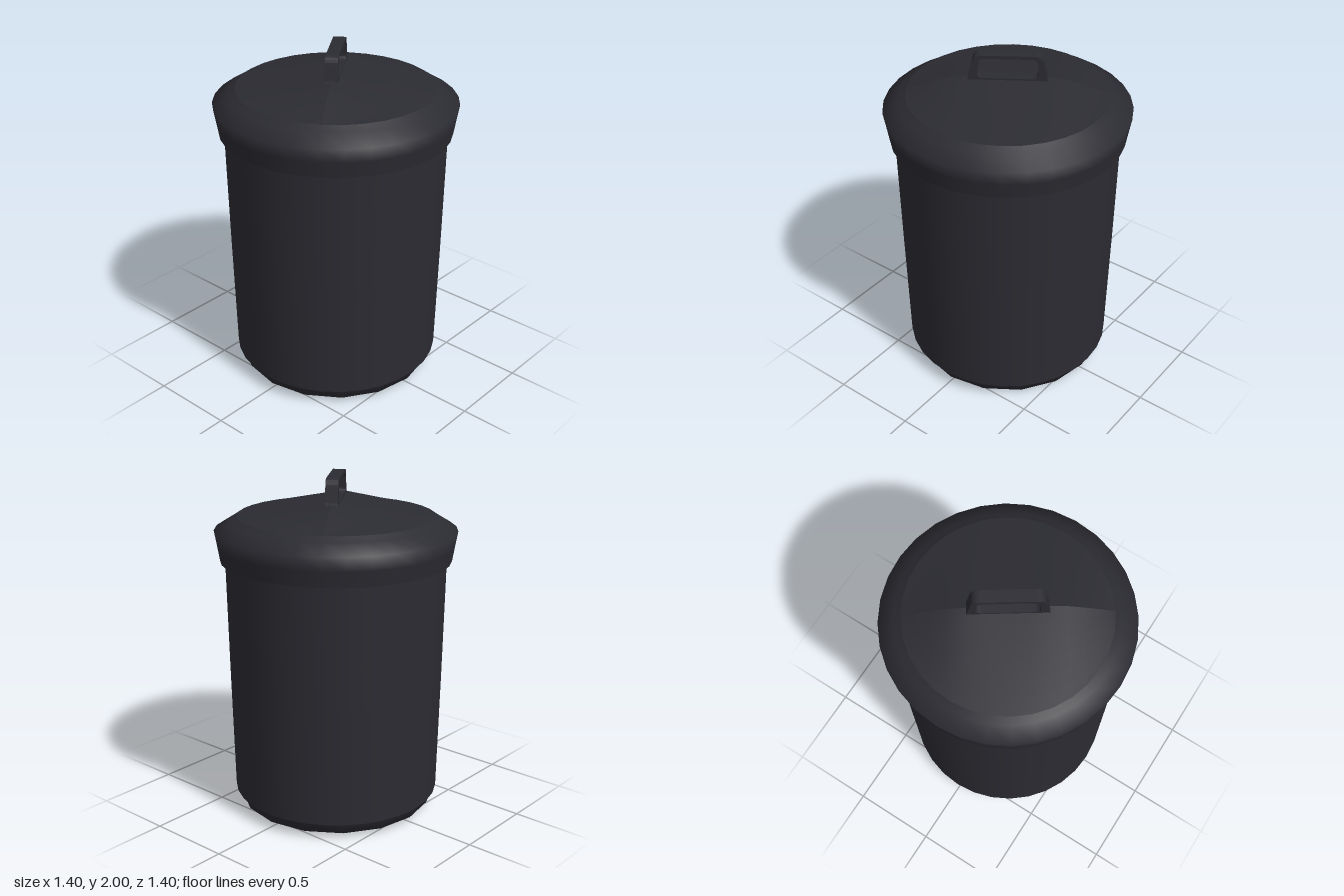
import * as THREE from 'three';

const LID_R = 0.57, LID_Y = 1.765, RISE = 0.095, SIDES = 32;

// Smooth turned surface from [radius, height] pairs
function turned(points, sides, name, material) {
  const geo = new THREE.LatheGeometry(points.map(([r, y]) => new THREE.Vector2(r, y)), sides);
  const mesh = new THREE.Mesh(geo, material);
  mesh.name = name;
  return mesh;
}

// Half of the lid top, sloping from a central ridge to the round rim
function lidHalf() {
  const geo = new THREE.PlaneGeometry(1, 1, SIDES / 2, 6);
  const pos = geo.attributes.position;
  for (let i = 0; i < pos.count; i++) {
    const phi = Math.PI * (0.5 - pos.getX(i)); // rim angle from the ridge
    const k = 0.5 - pos.getY(i);               // 0 at ridge, 1 at rim
    const s = LID_R * Math.cos(phi);
    const end = Math.max(0, (Math.abs(s) - 0.25) / (LID_R - 0.25));
    const ridge = RISE * (1 - Math.pow(end, 1.3));
    pos.setXYZ(i, s, LID_Y + ridge * (1 - k), k * LID_R * Math.sin(phi));
  }
  geo.computeVertexNormals();
  return geo;
}

// Arched grip with a rounded opening and flared feet
function handleGeometry() {
  const shape = new THREE.Shape();
  shape.moveTo(-0.225, 1.84);
  shape.lineTo(-0.215, 1.87);
  shape.lineTo(-0.198, 1.95);
  shape.quadraticCurveTo(-0.19, 2.0, -0.15, 2.0);
  shape.lineTo(0.15, 2.0);
  shape.quadraticCurveTo(0.19, 2.0, 0.198, 1.95);
  shape.lineTo(0.215, 1.87);
  shape.lineTo(0.225, 1.84);
  shape.closePath();

  const hole = new THREE.Path();
  hole.moveTo(-0.14, 1.864);
  hole.lineTo(0.14, 1.864);
  hole.quadraticCurveTo(0.17, 1.866, 0.17, 1.89);
  hole.lineTo(0.165, 1.95);
  hole.quadraticCurveTo(0.16, 1.982, 0.13, 1.982);
  hole.lineTo(-0.13, 1.982);
  hole.quadraticCurveTo(-0.16, 1.982, -0.165, 1.95);
  hole.lineTo(-0.17, 1.89);
  hole.quadraticCurveTo(-0.17, 1.866, -0.14, 1.864);
  shape.holes.push(hole);

  const geo = new THREE.ExtrudeGeometry(shape, { depth: 0.072, bevelEnabled: false, curveSegments: 5 });
  geo.translate(0, 0, -0.036);
  return geo;
}

export function createModel() {
  const model = new THREE.Group();
  model.name = 'trashCan';
  const plastic = new THREE.MeshStandardMaterial({ color: 0x2b2b32 });
  plastic.name = 'darkPlastic';

  // Can: tapered wall, its lower lip and a chamfered base
  model.add(
    turned([[0.613, 0.1], [0.628, 0.8], [0.642, 1.6]], SIDES, 'canWall', plastic),
    turned([[0.54, 0.085], [0.613, 0.1]], SIDES, 'canLowerLip', plastic),
    turned([[0, 0], [0.5, 0.004], [0.575, 0.03], [0.6, 0.1]], 16, 'canBase', plastic)
  );

  // Lid, turned so that its ridge runs along the handle
  const lid = new THREE.Group();
  lid.name = 'lid';
  lid.rotation.y = THREE.MathUtils.degToRad(34);
  lid.add(
    turned([[0.62, 1.51], [0.67, 1.51]], SIDES, 'lidUnderside', plastic),
    turned([[0.67, 1.51], [0.685, 1.6], [0.7, 1.683], [0.61, 1.738], [LID_R, LID_Y]], SIDES, 'lidRim', plastic)
  );
  const half = lidHalf();
  for (const [name, turn] of [['lidTopFront', 0], ['lidTopBack', Math.PI]]) {
    const mesh = new THREE.Mesh(half, plastic);
    mesh.name = name;
    mesh.rotation.y = turn;
    lid.add(mesh);
  }

  const handle = new THREE.Mesh(handleGeometry(), plastic);
  handle.name = 'lidHandle';
  lid.add(handle);
  model.add(lid);
  return model;
}
